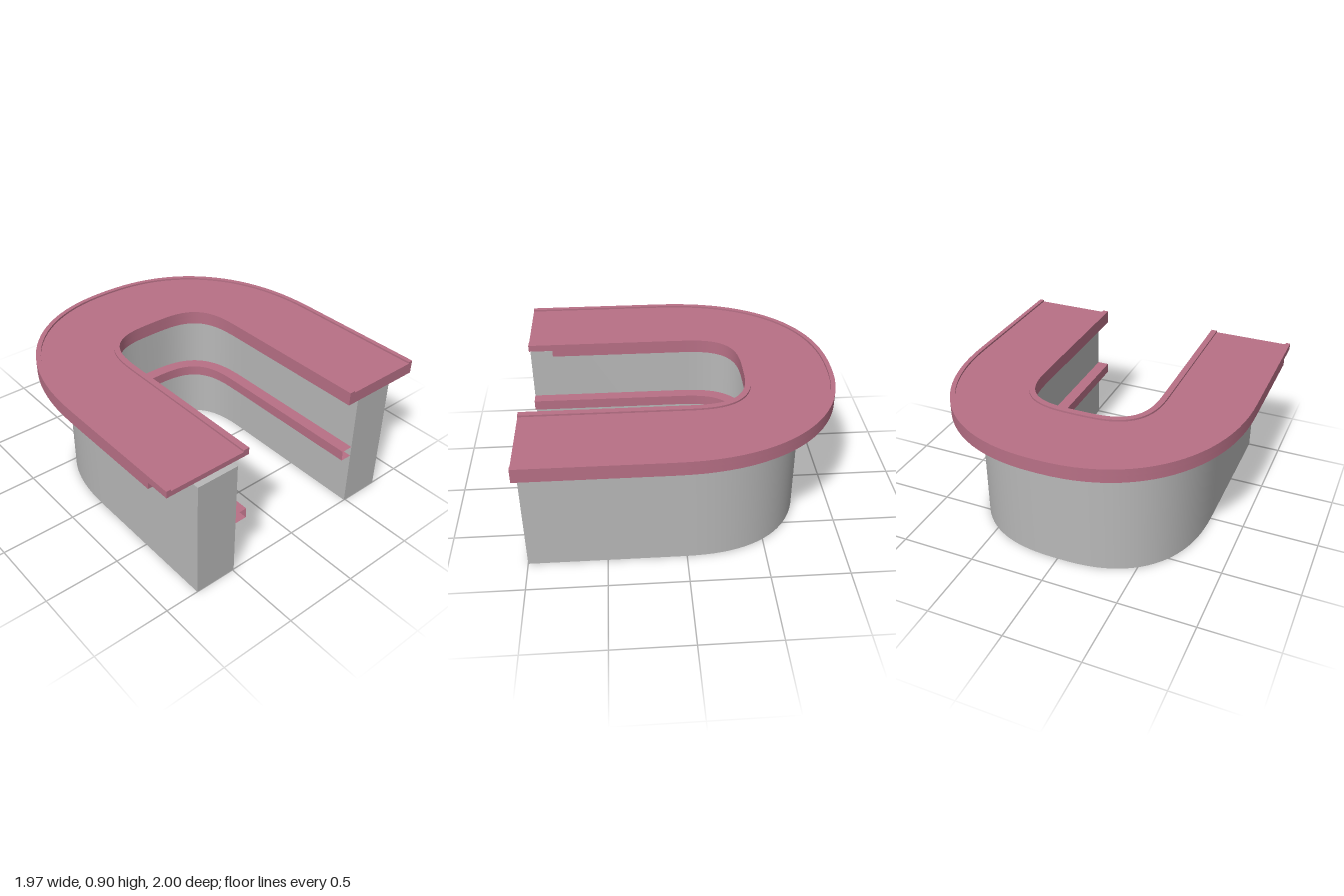
import * as THREE from 'three';
import { toCreasedNormals } from 'three/addons/utils/BufferGeometryUtils.js';

const pink = new THREE.MeshStandardMaterial({ color: 0xb87086, side: THREE.DoubleSide });
pink.name = 'dusty pink';
const grey = new THREE.MeshStandardMaterial({ color: 0xb8b8b8 });
grey.name = 'light grey';

const FRONT = 1;
const CREASE = 0.6;

// U-shaped outline from the +x leg round the back to the -x leg, as (x, -z) points.
// a: half width, back: depth behind the centre, c: z where the bend starts, n: squareness
function outline({ a, back, c, n }, rightEnd = FRONT, leftEnd = FRONT) {
  const points = [new THREE.Vector2(a, -rightEnd)];
  const steps = 48;
  for (let i = 0; i <= steps; i++) {
    const t = (Math.PI * i) / steps;
    const cos = Math.cos(t);
    const sin = Math.max(0, Math.sin(t));
    const x = a * Math.sign(cos) * Math.abs(cos) ** (2 / n);
    points.push(new THREE.Vector2(x, -c + (back + c) * sin ** (2 / n)));
  }
  points.push(new THREE.Vector2(-a, -leftEnd));
  return points;
}

// Solid band between two outlines, from height y0 to y1
function band(name, outer, inner, y0, y1, material, leftEnd = FRONT) {
  const shape = new THREE.Shape([
    ...outline(outer, FRONT, leftEnd),
    ...outline(inner, FRONT, leftEnd).reverse(),
  ]);
  const geometry = new THREE.ExtrudeGeometry(shape, { depth: y1 - y0, bevelEnabled: false });
  geometry.rotateX(-Math.PI / 2).translate(0, y0, 0);
  const mesh = new THREE.Mesh(toCreasedNormals(geometry, CREASE), material);
  mesh.name = name;
  return mesh;
}

// Open-ended strip through a series of outlines at given heights
function strip(name, rings, material) {
  const position = [];
  const index = [];
  const count = outline(rings[0][0]).length;
  for (const [ring, y] of rings) {
    for (const p of outline(ring)) position.push(p.x, y, -p.y);
  }
  for (let r = 0; r < rings.length - 1; r++) {
    for (let i = 0; i < count - 1; i++) {
      const a = r * count + i;
      const b = a + count;
      index.push(a, a + 1, b, a + 1, b + 1, b);
    }
  }
  const geometry = new THREE.BufferGeometry();
  geometry.setAttribute('position', new THREE.Float32BufferAttribute(position, 3));
  geometry.setIndex(index);
  const mesh = new THREE.Mesh(toCreasedNormals(geometry, CREASE), material);
  mesh.name = name;
  return mesh;
}

export function createModel() {
  const group = new THREE.Group();
  group.name = 'curvedCounter';

  const topOuter = { a: 0.985, back: 1, c: 0.1, n: 2.25 };
  const lipOuter = { a: 0.955, back: 0.97, c: 0.1, n: 2.25 };
  const lipInner = { a: 0.45, back: 0.46, c: 0, n: 3 };
  const topInner = { a: 0.41, back: 0.42, c: 0, n: 3.2 };
  const wallOuter = { a: 0.775, back: 0.78, c: 0.05, n: 2.5 };
  const wallInner = { a: 0.49, back: 0.5, c: 0, n: 3 };

  // Supporting wall
  group.add(band('wall', wallOuter, wallInner, 0, 0.81, grey));

  // Countertop: the lower layer stops short on one leg
  group.add(band('countertopLowerLayer', topOuter, topInner, 0.81, 0.855, pink, 0.84));
  group.add(band('countertopUpperLayer', topOuter, topInner, 0.855, 0.888, pink));

  // Raised lips along both edges
  group.add(band('outerLip', topOuter, lipOuter, 0.888, 0.9, pink));
  group.add(band('innerLip', lipInner, topInner, 0.888, 0.9, pink));

  // Rail along the inside of the wall, open at its ends
  group.add(strip('innerRail', [
    [wallInner, 0.45], [topInner, 0.45], [topInner, 0.38], [wallInner, 0.38],
  ], pink));

  return group;
}
